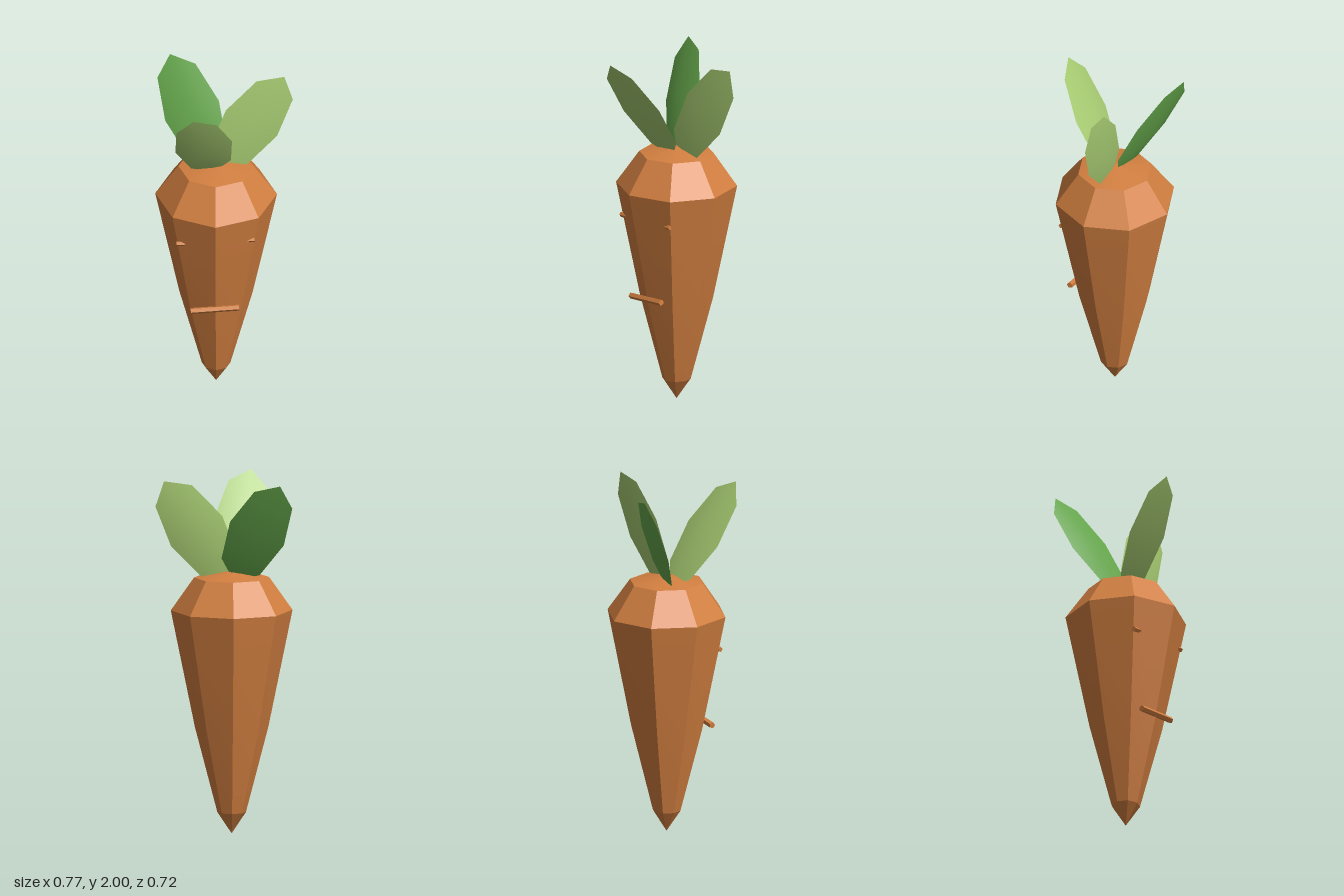
import * as THREE from 'three';
import { toCreasedNormals } from 'three/addons/utils/BufferGeometryUtils.js';

const material = (name, color) => new THREE.MeshStandardMaterial({ name, color });
const V = (x, y, z) => new THREE.Vector3(x, y, z);

export function createModel() {
  const model = new THREE.Group();
  model.name = 'carrot';
  const orange = material('carrot orange', 0xd27f40);
  const lightGreen = material('light leaf green', 0xa6ca71);
  const midGreen = material('mid leaf green', 0x66a84c);

  const add = (name, geometry, mat, crease) => {
    const mesh = new THREE.Mesh(toCreasedNormals(geometry, crease), mat);
    mesh.name = name;
    model.add(mesh);
    return mesh;
  };

  // Eight-sided tapering root with a shallow crown
  const profile = [[0, 0], [0.08, 0.12], [0.205, 0.6], [0.34, 1.26], [0.21, 1.445], [0, 1.485]]
    .map(([r, y]) => new THREE.Vector2(r, y));
  const root = add('root', new THREE.LatheGeometry(profile, 8), orange, 0.2);
  root.position.set(-0.04, 0, -0.02);

  // Thin ridges set into the front of the root
  const ridge = (name, a, b, radius) => {
    const dir = b.clone().sub(a);
    const rod = add(name, new THREE.CylinderGeometry(radius, radius, dir.length(), 5), orange, 0.2);
    rod.position.copy(a).add(b).multiplyScalar(0.5);
    rod.quaternion.setFromUnitVectors(V(0, 1, 0), dir.normalize());
  };
  ridge('lowerRidge', V(-0.178, 0.612, 0.195), V(0.092, 0.638, 0.195), 0.018);
  ridge('upperRidge', V(-0.258, 1.07, 0.2), V(0.178, 1.102, 0.2), 0.015);

  // Leaves: flattened octagonal lenses given by centre, half length and half width
  const leaf = (name, centre, along, across, mat) => {
    const thick = across.clone().cross(along).setLength(0.035);
    const frame = new THREE.Matrix4().makeBasis(along, thick, across).setPosition(centre);
    add(name, new THREE.SphereGeometry(1, 8, 2).applyMatrix4(frame), mat, 0.6);
  };
  leaf('frontLeaf', V(-0.107, 1.71, 0.177), V(-0.055, 0.29, 0.18), V(0.158, 0.04, 0), lightGreen);
  leaf('leftLeaf', V(0.157, 1.713, -0.056), V(0.183, 0.287, -0.04), V(0.143, -0.085, 0), lightGreen);
  leaf('backLeaf', V(-0.176, 1.714, -0.174), V(-0.125, 0.286, -0.14), V(-0.15, -0.068, 0), midGreen);

  return model;
}
